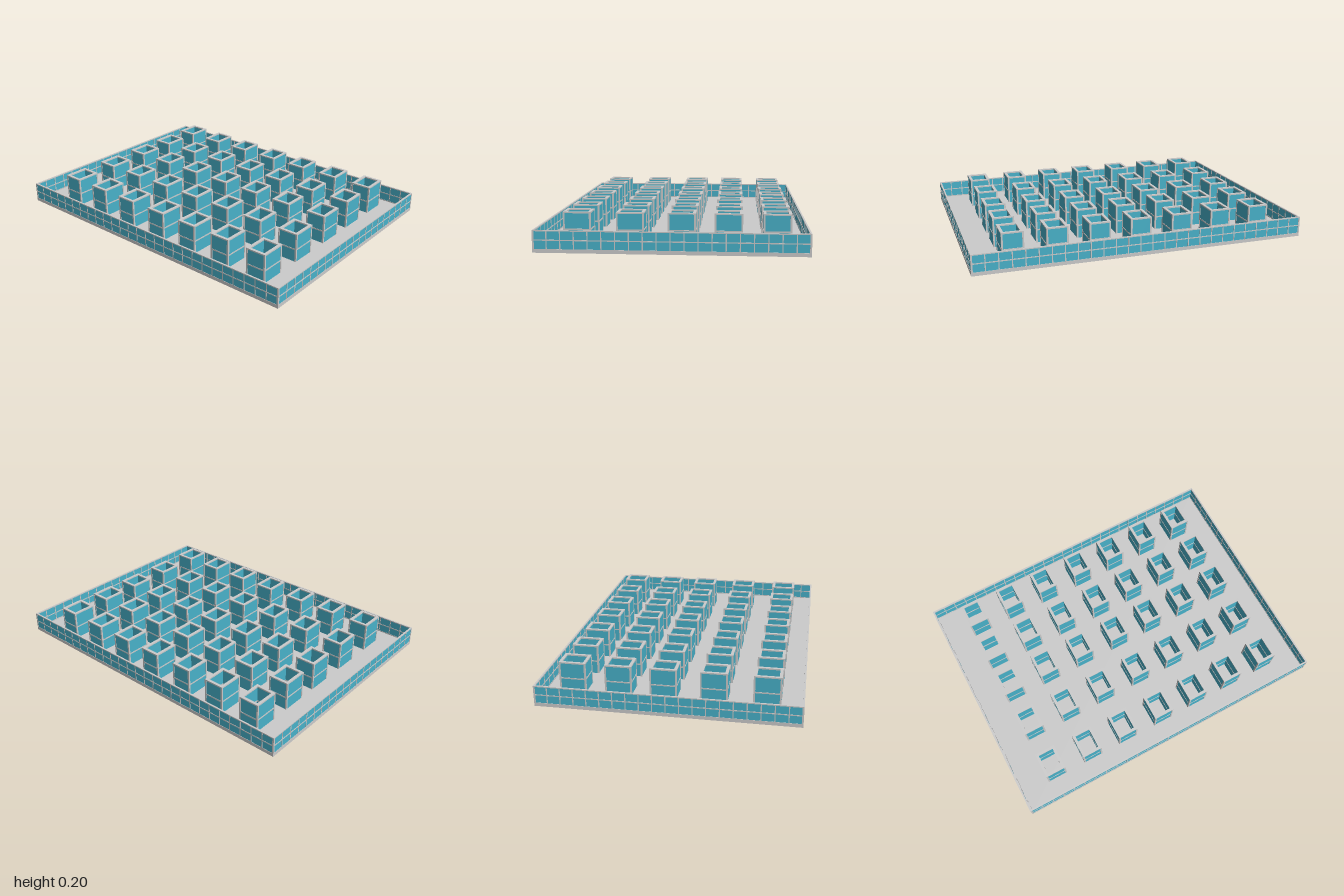
import * as THREE from 'three';
import { mergeGeometries } from 'three/addons/utils/BufferGeometryUtils.js';

const grey = new THREE.MeshStandardMaterial({ color: 0xcccccc });
const teal = new THREE.MeshStandardMaterial({ color: 0x48b2ca });

// Box given by its size and centre
function block(w, h, d, x, y, z) {
  return new THREE.BoxGeometry(w, h, d).translate(x, y, z);
}

// Four bars (or panes) following a rectangle of outer size w x d, wall thickness t
function ring(w, d, t, y0, y1) {
  const h = y1 - y0, y = (y0 + y1) / 2, parts = [];
  for (const s of [-1, 1]) {
    parts.push(block(w, h, t, 0, y, s * (d - t) / 2));
    parts.push(block(t, h, d - 2 * t, s * (w - t) / 2, y, 0));
  }
  return parts;
}

function mesh(name, parts, material) {
  const m = new THREE.Mesh(mergeGeometries(parts), material);
  m.name = name;
  return m;
}

export function createModel() {
  const model = new THREE.Group();
  model.name = 'glazedCourt';
  const W = 2, D = 1.48, base = 0.01, floorTop = 0.025, wallTop = 0.133;

  // Floor slab
  model.add(mesh('floorSlab', [block(W, floorTop - base, D, 0, (base + floorTop) / 2, 0)], grey));

  // Perimeter wall: rails, evenly spaced mullions and glass
  const wall = new THREE.Group();
  wall.name = 'perimeterWall';
  const t = 0.01, bar = 0.006, midY = (floorTop + wallTop) / 2;
  const frame = [
    ...ring(W, D, t, floorTop, floorTop + bar),
    ...ring(W, D, t, midY - bar / 2, midY + bar / 2),
    ...ring(W, D, t, wallTop - bar, wallTop),
  ];
  const columns = 27, rows = 20, h = wallTop - floorTop;
  for (const s of [-1, 1]) {
    for (let i = 0; i <= columns; i++) {
      const x = -W / 2 + bar / 2 + (W - bar) * i / columns;
      frame.push(block(bar, h, t, x, midY, s * (D - t) / 2));
    }
    for (let i = 0; i <= rows; i++) {
      const z = -D / 2 + bar / 2 + (D - bar) * i / rows;
      frame.push(block(t, h, bar, s * (W - t) / 2, midY, z));
    }
  }
  wall.add(mesh('wallFrame', frame, grey));
  wall.add(mesh('wallGlass', ring(W - 0.004, D - 0.004, 0.006, floorTop, wallTop - 0.002), teal));
  model.add(wall);

  // One open-topped glazed shaft: rails, corner posts and panes
  const w = 0.128, d = 0.156, top = 0.203, thick = 0.017, post = 0.01;
  const shaftFrame = [
    ...ring(w, d, thick, 0, 0.012),
    ...ring(w, d, thick, 0.1, 0.108),
    ...ring(w, d, thick, top - 0.008, top),
  ];
  for (const x of [-1, 1]) for (const z of [-1, 1]) {
    shaftFrame.push(block(post, top, post, x * (w - post) / 2, top / 2, z * (d - post) / 2));
  }
  const frameMesh = mesh('shaftFrame', shaftFrame, grey);
  const glassMesh = mesh('shaftGlass', ring(w - 0.004, d - 0.004, thick - 0.004, 0.004, top - 0.002), teal);

  // Grid of shafts
  const xs = [-0.758, -0.506, -0.256, 0, 0.249, 0.5, 0.754];
  const zs = [-0.572, -0.306, -0.047, 0.239, 0.536];
  for (const z of zs) for (const x of xs) {
    const shaft = new THREE.Group();
    shaft.name = 'shaft';
    shaft.add(frameMesh.clone(), glassMesh.clone());
    shaft.position.set(x, 0, z);
    model.add(shaft);
  }
  return model;
}
